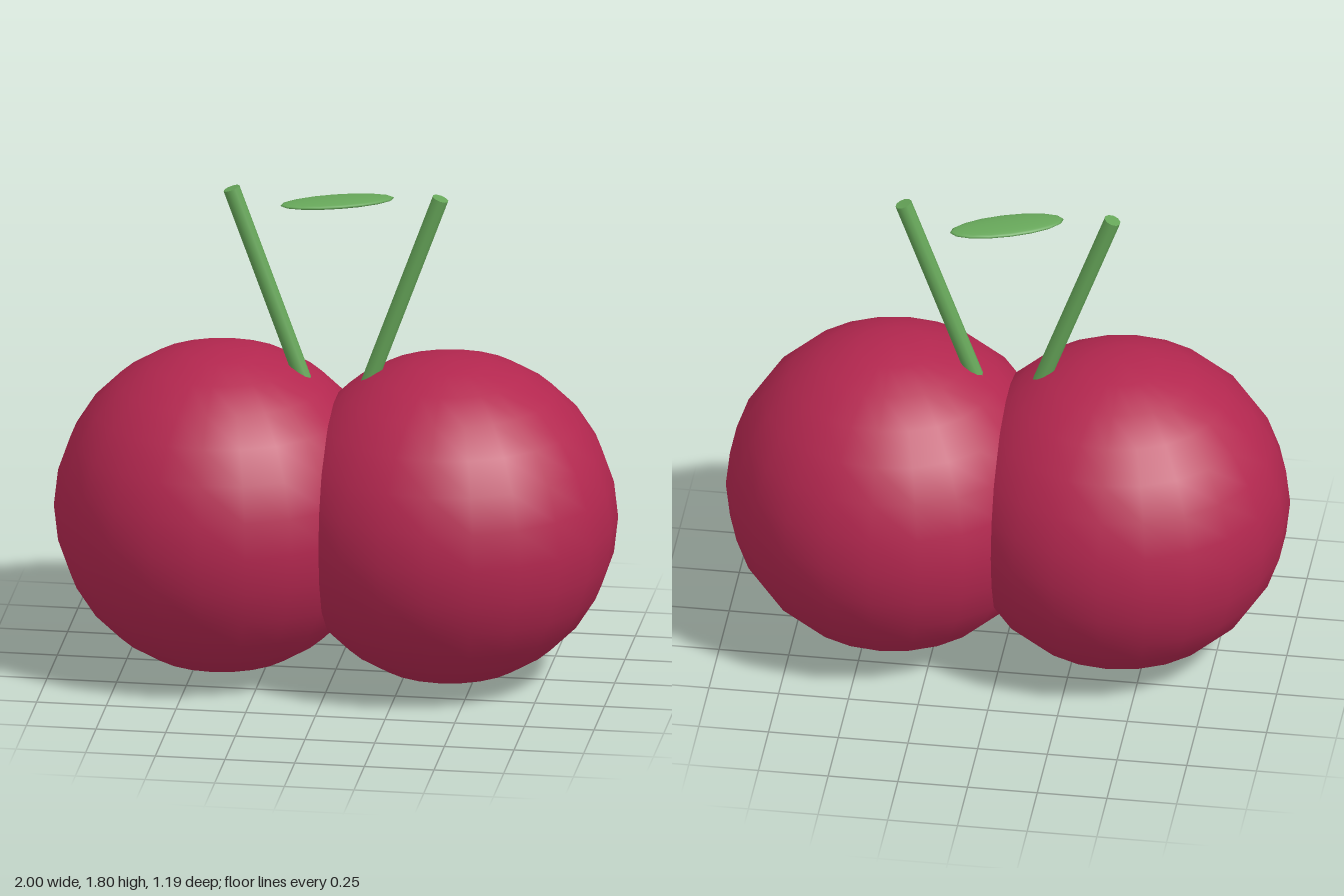
import * as THREE from 'three';

const red = new THREE.MeshStandardMaterial({ color: 0xb3274f });
const green = new THREE.MeshStandardMaterial({ color: 0x66a659 });

function add(parent, name, geometry, material) {
  const mesh = new THREE.Mesh(geometry, material);
  mesh.name = name;
  parent.add(mesh);
  return mesh;
}

export function createModel() {
  const model = new THREE.Group();
  model.name = 'cherries';

  const radius = 0.597;
  const tilt = THREE.MathUtils.degToRad(20);
  const stemLength = 0.86;
  const stemTop = new THREE.Vector2(0.375, 1.793);

  for (const [side, s] of [['left', 1], ['right', -1]]) {
    // Fruit, turned so a column of faces points straight out to the side
    const fruit = add(model, side + 'Cherry', new THREE.SphereGeometry(radius, 22, 14), red);
    fruit.position.set(s * 0.409, radius, 0);
    fruit.rotation.y = Math.PI / 22;

    // Straight stem leaning outwards, its foot sunk into the fruit
    const stem = add(model, side + 'Stem', new THREE.CylinderGeometry(0.03, 0.03, stemLength, 10), green);
    stem.position.set(
      s * (stemTop.x - Math.sin(tilt) * stemLength / 2),
      stemTop.y - Math.cos(tilt) * stemLength / 2,
      0
    );
    stem.rotation.z = -s * tilt;
  }

  // Thin oval leaf floating between the stem tops
  const leaf = add(model, 'leaf', new THREE.SphereGeometry(1, 16, 12).scale(0.207, 0.014, 0.067), green);
  leaf.position.set(0, 1.752, -0.028);
  leaf.rotation.y = 0.36;

  return model;
}
